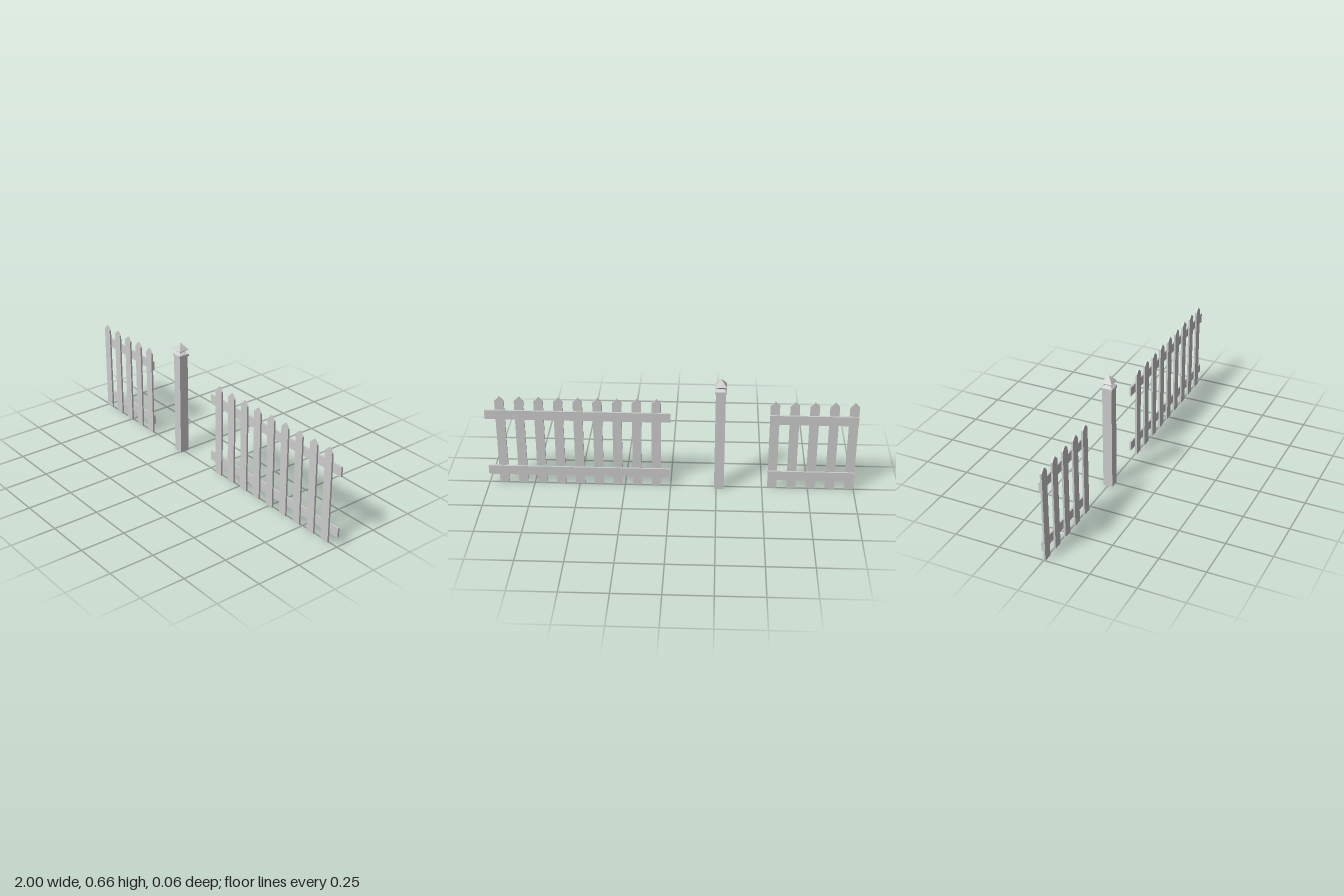
import * as THREE from 'three';

const material = new THREE.MeshStandardMaterial({ color: 0xcccccc, flatShading: true });

function addMesh(parent, name, geometry, x, y, z) {
  const mesh = new THREE.Mesh(geometry, material);
  mesh.name = name;
  mesh.position.set(x, y, z);
  parent.add(mesh);
}

// Flat board with a pointed top, standing on y = 0
function picketGeometry() {
  const w = 0.025;
  const shape = new THREE.Shape([
    [-w, 0], [w, 0], [w, 0.502], [0, 0.527], [-w, 0.502],
  ].map(([x, y]) => new THREE.Vector2(x, y)));
  return new THREE.ExtrudeGeometry(shape, { depth: 0.01, bevelEnabled: false });
}

// Row of pickets in front of two rails
function fencePanel(name, railStart, railEnd, firstPicket, count) {
  const panel = new THREE.Group();
  panel.name = name;
  const picket = picketGeometry();
  for (let i = 0; i < count; i++) {
    addMesh(panel, 'picket', picket, firstPicket + i * 0.105, 0, 0);
  }
  const rail = new THREE.BoxGeometry(railEnd - railStart, 0.053, 0.01);
  const middle = (railStart + railEnd) / 2;
  addMesh(panel, 'lowerRail', rail, middle, 0.081, -0.005);
  addMesh(panel, 'upperRail', rail, middle, 0.423, -0.005);
  return panel;
}

// Square turned solid from [half width, height] pairs
function squareLathe(profile) {
  const points = profile.map(([r, y]) => new THREE.Vector2(r * Math.SQRT2, y));
  return new THREE.LatheGeometry(points, 4, Math.PI / 4);
}

export function createModel() {
  const model = new THREE.Group();
  model.name = 'picketFence';

  model.add(fencePanel('shortPanel', -1, -0.53, -0.975, 5));
  model.add(fencePanel('longPanel', 0, 1, 0.078, 9));

  // Free-standing post with collar, narrow neck and pyramid finial
  const post = new THREE.Group();
  post.name = 'post';
  post.position.x = -0.265;
  addMesh(post, 'postShaft', new THREE.BoxGeometry(0.053, 0.582, 0.053), 0, 0.291, 0);
  addMesh(post, 'postCap', squareLathe([
    [0, 0.582], [0.031, 0.582], [0.031, 0.594], [0.014, 0.607], [0.031, 0.62], [0, 0.659],
  ]), 0, 0, 0);
  model.add(post);

  return model;
}
